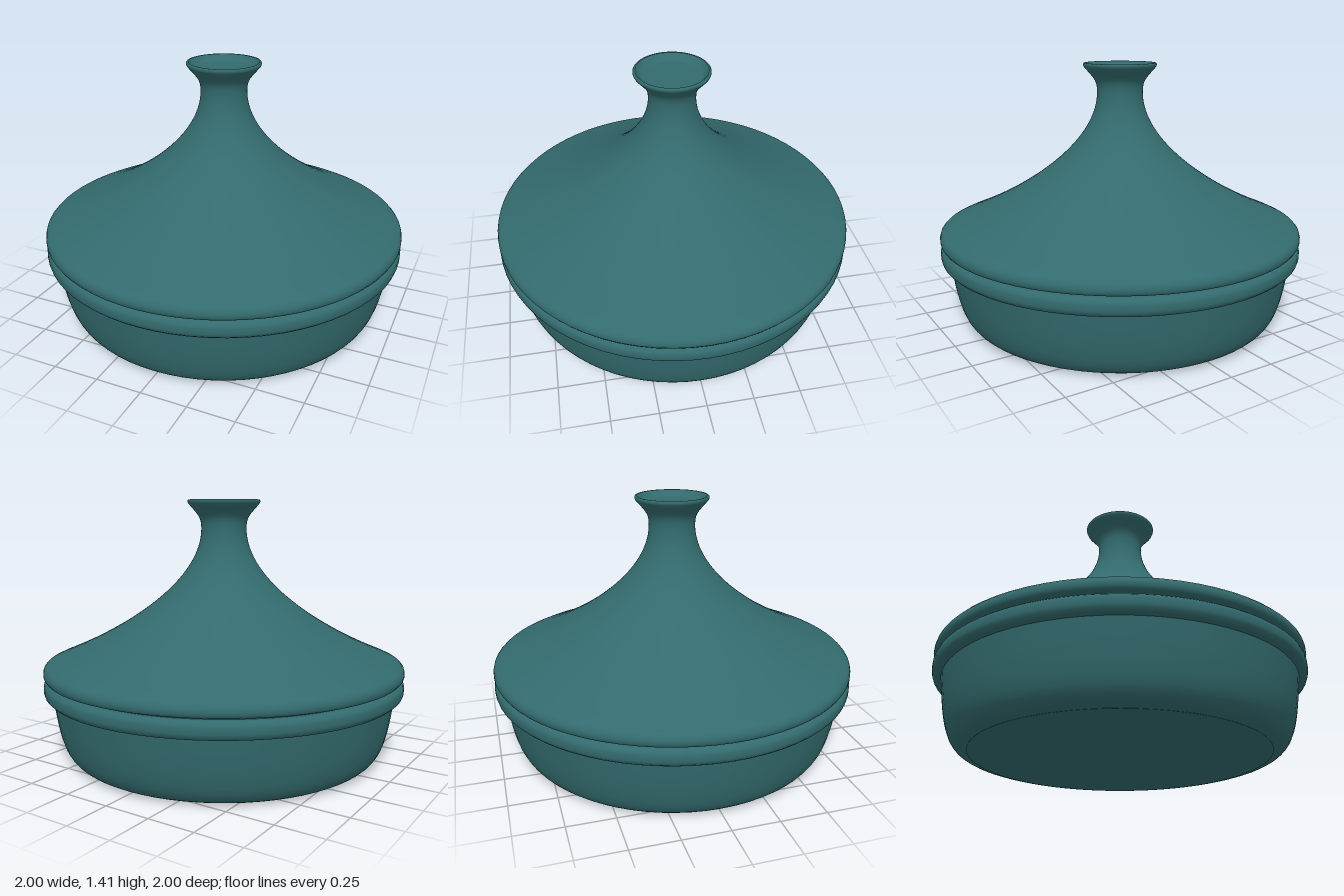
import * as THREE from 'three';

const teal = new THREE.MeshStandardMaterial({ color: 0x336b6e });
teal.name = 'teal glaze';

// Revolve a profile listed from the bottom axis, round the outside, to the top axis.
function revolve(name, profile) {
  const points = profile.map(([r, y]) => new THREE.Vector2(r, y));
  const mesh = new THREE.Mesh(new THREE.LatheGeometry(points, 72), teal);
  mesh.name = name;
  return mesh;
}

// Sample a cubic curve in the profile plane as [radius, height] pairs.
function curve(a, b, c, d, steps) {
  const v = [a, b, c, d].map(([x, y]) => new THREE.Vector2(x, y));
  return new THREE.CubicBezierCurve(...v).getPoints(steps).map((p) => [p.x, p.y]);
}

export function createModel() {
  const group = new THREE.Group();
  group.name = 'conicalCookingPot';

  // Dish: flat foot, rounded lower edge and slightly flaring wall
  group.add(revolve('dish', [
    [0, 0], [0.79, 0], [0.79, 0],
    ...curve([0.79, 0.002], [0.9, 0.005], [0.92, 0.13], [0.953, 0.36], 14),
  ]));

  // Rolled rim around the dish
  group.add(revolve('dishRim', [
    [0.9, 0.357], [0.965, 0.357], [0.982, 0.362], [0.995, 0.375], [1, 0.392],
    [1, 0.418], [0.995, 0.435], [0.982, 0.446], [0.965, 0.45], [0.9, 0.45],
  ]));

  // Recessed seat closing the narrow gap between dish and lid
  group.add(revolve('lidSeat', [[0.955, 0.44], [0.955, 0.47]]));

  // Lid: rounded edge, concave cone, narrow neck, flared knob with a shallow dished top
  group.add(revolve('lid', [
    [0, 0.46], [0.975, 0.46], [0.975, 0.46], [0.992, 0.464], [1, 0.478],
    [1, 0.495], [0.995, 0.512], [0.982, 0.526],
    ...curve([0.95, 0.541], [0.55, 0.70], [0.125, 0.97], [0.125, 1.26], 32),
    ...curve([0.126, 1.28], [0.13, 1.325], [0.15, 1.34], [0.196, 1.393], 8),
    [0.2, 1.402], [0.2, 1.41], [0.196, 1.415], [0.188, 1.415], [0.188, 1.415],
    [0.172, 1.397], [0.16, 1.386], [0.145, 1.381], [0, 1.381],
  ]));

  return group;
}
